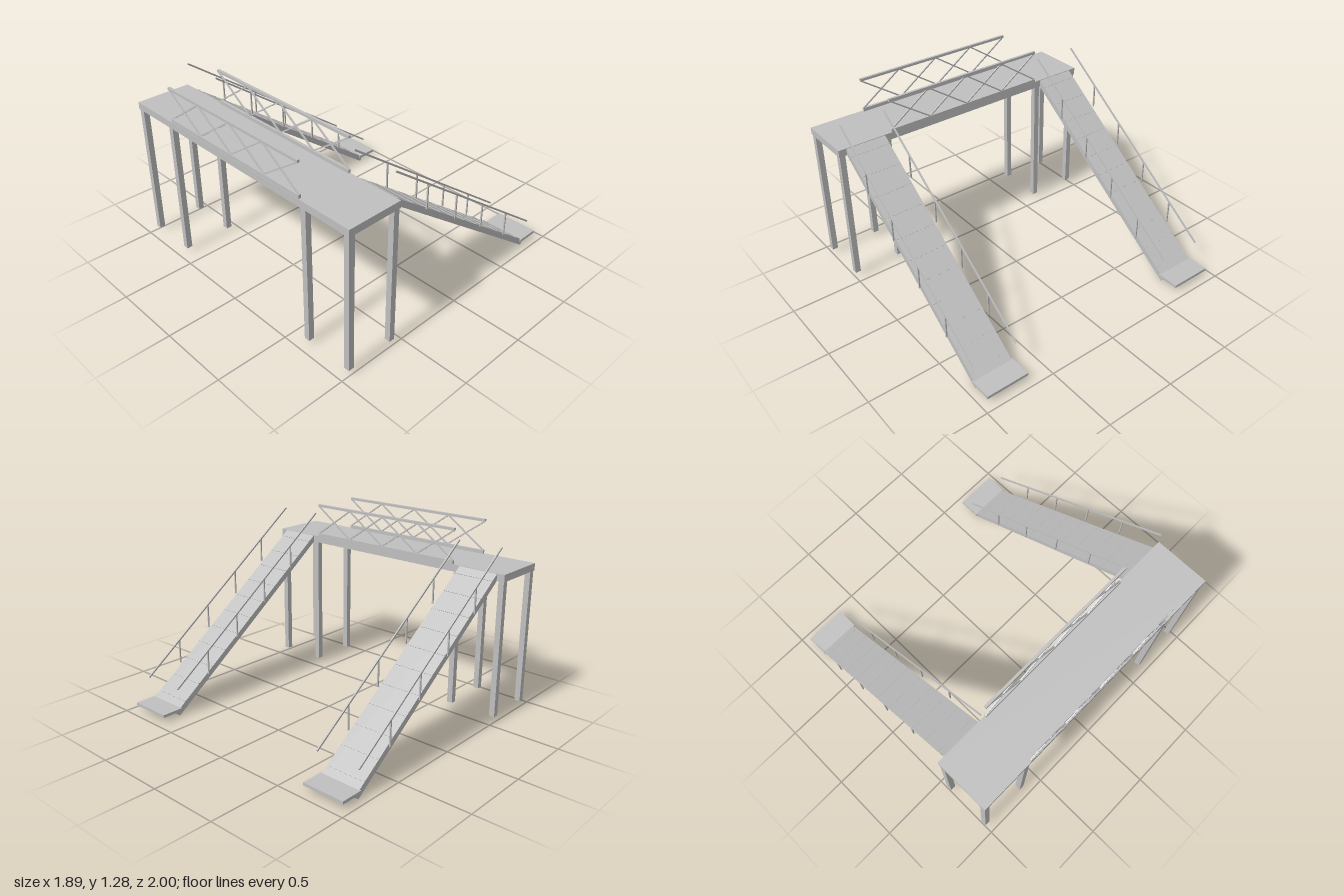
import * as THREE from 'three';

export function createModel() {
  const model = new THREE.Group();
  model.name = 'footbridge';
  const steel = new THREE.MeshStandardMaterial({ color: 0xc0c0c0 });
  steel.name = 'grey steel';

  const box = (name, parent, w, h, d, x, y, z) => {
    const m = new THREE.Mesh(new THREE.BoxGeometry(w, h, d), steel);
    m.name = name;
    m.position.set(x, y, z);
    parent.add(m);
    return m;
  };
  // Square bar from a to b, its width kept level
  const bar = (name, parent, a, b, w, h = w) => {
    const from = new THREE.Vector3(...a), to = new THREE.Vector3(...b);
    const m = new THREE.Mesh(new THREE.BoxGeometry(w, h, from.distanceTo(to)), steel);
    m.name = name;
    m.position.copy(from).add(to).multiplyScalar(0.5);
    m.lookAt(to);
    parent.add(m);
    return m;
  };

  // Deck and its eight legs
  box('deck', model, 0.39, 0.05, 2, -0.75, 1.015, 0);
  for (const x of [-0.92, -0.58])
    for (const z of [-0.975, -0.635, 0.635, 0.975])
      box('leg', model, 0.04, 0.95, 0.04, x, 0.515, z);

  // Trussed railings along both deck edges
  for (const x of [-0.935, -0.56]) {
    const railing = new THREE.Group();
    railing.name = 'deckRailing';
    model.add(railing);
    box('topRail', railing, 0.018, 0.018, 1.214, x, 1.275, 0);
    box('bottomRail', railing, 0.018, 0.024, 1.214, x, 1.052, 0);
    const panel = 0.303;
    for (let i = 0; i < 4; i++) {
      const z0 = -0.606 + i * panel, z1 = z0 + panel;
      bar('brace', railing, [x, 1.06, z0], [x, 1.27, z1], 0.009);
      bar('brace', railing, [x, 1.27, z0], [x, 1.06, z1], 0.009);
    }
  }

  // Sloping ramps with grip strips, handrails and foot landings
  const slope = -0.7246, angle = Math.atan(slope);
  const rampTop = x => 1.037 + (x + 0.555) * slope;
  for (const side of [-1, 1]) {
    const ramp = new THREE.Group();
    ramp.name = side > 0 ? 'frontRamp' : 'backRamp';
    model.add(ramp);
    const zc = side * 0.802;
    bar('rampSlab', ramp, [-0.57, 1.0225, zc], [0.812, 0.021, zc], 0.285, 0.04);
    for (let i = 0; i < 11; i++) {
      const x = -0.505 + i * 0.125;
      box('gripStrip', ramp, 0.008, 0.004, 0.28, x, rampTop(x), zc).rotation.z = angle;
    }
    box('landing', ramp, 0.157, 0.02, 0.304, 0.8635, 0.05, zc);
    for (const z of [0.645, 0.961]) {
      bar('handrail', ramp, [-0.562, 1.21, side * z], [0.818, 0.21, side * z], 0.009, 0.011);
      for (const x of [-0.285, -0.01, 0.265, 0.541]) {
        const y0 = rampTop(x) - 0.004, y1 = 1.21 + (x + 0.562) * slope;
        box('railPost', ramp, 0.009, y1 - y0, 0.009, x, (y0 + y1) / 2, side * z);
      }
    }
  }
  return model;
}
